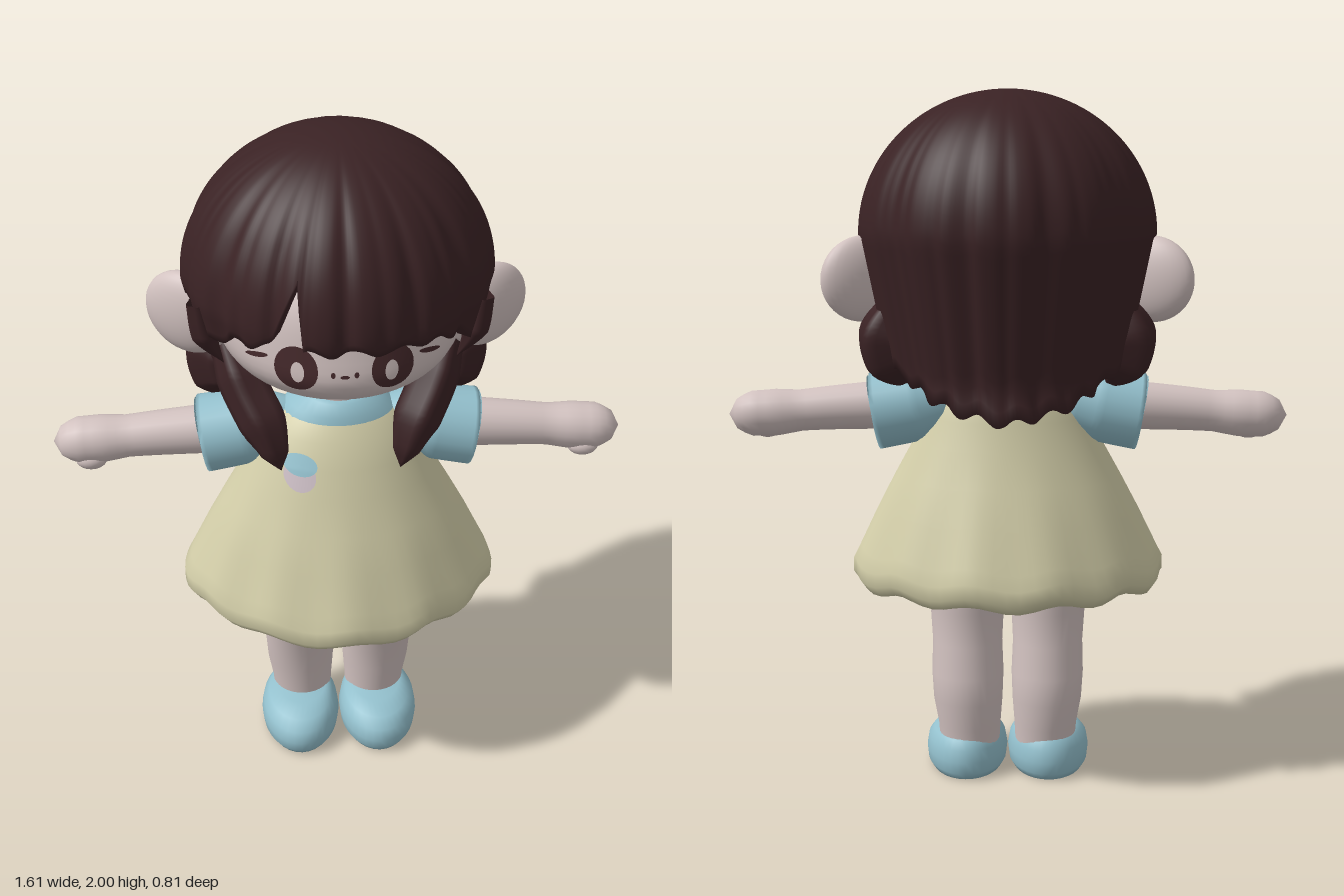
import * as THREE from 'three';
import { mergeVertices } from 'three/addons/utils/BufferGeometryUtils.js';

const mat = (name, color) => {
  const m = new THREE.MeshStandardMaterial({ color, side: THREE.DoubleSide });
  m.name = name;
  return m;
};

// Weld shared corners and give smooth normals
function smooth(geo) {
  geo.deleteAttribute('uv');
  geo.deleteAttribute('normal');
  const g = mergeVertices(geo, 1e-4);
  g.computeVertexNormals();
  return g;
}

// Surface from a rule f(u, v) -> [x, y, z]; outward when u turns left to right and v goes up
function sheet(f, nu, nv) {
  const pos = [], idx = [];
  for (let j = 0; j <= nv; j++)
    for (let i = 0; i <= nu; i++) pos.push(...f(i / nu, j / nv));
  for (let j = 0; j < nv; j++)
    for (let i = 0; i < nu; i++) {
      const a = j * (nu + 1) + i, d = a + nu + 1;
      idx.push(a, a + 1, d, a + 1, d + 1, d);
    }
  const g = new THREE.BufferGeometry();
  g.setAttribute('position', new THREE.Float32BufferAttribute(pos, 3));
  g.setIndex(idx);
  return smooth(g);
}

// Loft of upright ellipses; rows are [y, centreX, centreZ, radiusX, radiusZ]
function loft(rows, n = 32, wave = () => [1, 0]) {
  return sheet((u, v) => {
    const [y, cx, cz, rx, rz] = rows[Math.round(v * (rows.length - 1))];
    const a = (u * 2 - 1) * Math.PI, [k, dy] = wave(a, y);
    return [cx + Math.sin(a) * rx * k, y + dy, cz + Math.cos(a) * rz * k];
  }, n, rows.length - 1);
}

// Piecewise linear lookup in [x, value] pairs
function lerpTable(t, x) {
  for (let i = 1; i < t.length; i++)
    if (x <= t[i][0]) {
      const k = (x - t[i - 1][0]) / (t[i][0] - t[i - 1][0]);
      return t[i - 1][1] + (t[i][1] - t[i - 1][1]) * k;
    }
  return t[t.length - 1][1];
}

// Tube along points with a radius table and optional lengthwise ridges
function limb(points, radii, ridge = 0) {
  const curve = new THREE.CatmullRomCurve3(points.map(p => new THREE.Vector3(...p)));
  const n = 24, m = 20, g = new THREE.TubeGeometry(curve, n, 1, m);
  const p = g.attributes.position, v = new THREE.Vector3();
  for (let i = 0; i < p.count; i++) {
    const t = Math.floor(i / (m + 1)) / n, c = curve.getPointAt(t);
    const r = lerpTable(radii, t) * (1 + ridge * Math.cos((i % (m + 1)) / m * Math.PI * 10));
    v.fromBufferAttribute(p, i).sub(c).multiplyScalar(r).add(c);
    p.setXYZ(i, v.x, v.y, v.z);
  }
  return smooth(g);
}

// Thin painted oval that follows a surface z(x, y)
function decal(surf, x, y, rx, ry, lift, angle = 0) {
  const g = new THREE.RingGeometry(0.0001, 1, 28, 5).scale(rx, ry, 1).rotateZ(angle).translate(x, y, 0);
  const p = g.attributes.position;
  for (let i = 0; i < p.count; i++) p.setZ(i, surf(p.getX(i), p.getY(i)) + lift);
  g.computeVertexNormals();
  return g;
}

// Face surface: an ellipsoid with fuller cheeks
const HEAD = { y: 1.55, z: 0.03, rx: 0.345, ry: 0.27, rz: 0.32 };
const cheek = (y, z) => z + 0.04 * Math.exp(-(((y - 1.44) / 0.08) ** 2)) * Math.max(0, z / HEAD.rz);
const faceZ = (x, y) => HEAD.z + cheek(y, HEAD.rz *
  Math.sqrt(Math.max(0, 1 - (x / HEAD.rx) ** 2 - ((y - HEAD.y) / HEAD.ry) ** 2)));

// Dress outline: [y, halfWidth, frontZ, backZ]
const DRESS = [
  [0.66, 0.36, 0.31, -0.23], [0.60, 0.40, 0.35, -0.27], [0.582, 0.435, 0.38, -0.295],
  [0.61, 0.455, 0.4, -0.315], [0.65, 0.455, 0.392, -0.31], [0.69, 0.435, 0.372, -0.292],
  [0.8, 0.382, 0.33, -0.25], [0.9, 0.33, 0.285, -0.205], [1.0, 0.275, 0.24, -0.165],
  [1.08, 0.24, 0.21, -0.14], [1.15, 0.205, 0.175, -0.12], [1.19, 0.155, 0.145, -0.1],
].map(([y, w, f, b]) => [y, 0, (f + b) / 2, w, (f - b) / 2]);
const dressZ = (x, y) => {
  const at = k => lerpTable(DRESS.slice(3).map(r => [r[0], r[k]]), y);
  return at(2) + at(4) * Math.sqrt(1 - (x / at(3)) ** 2);
};

// Lower hair edge by angle from the front: fringe, ear opening, long back
const EDGE = [[0, 1.58], [0.5, 1.57], [0.8, 1.55], [1.1, 1.49], [1.28, 1.5], [1.42, 1.57],
  [1.68, 1.56], [1.82, 1.26], [2.2, 1.2], [2.7, 1.14], [Math.PI, 1.11]];
const PARTING = [[-4, 0], [-0.57, 0], [-0.56, 1.5], [-0.3, 1.77], [-0.26, 1.5], [-0.25, 0]];
function hairPoint(u, v) {
  const a = (u * 2 - 1) * Math.PI;
  const edge = Math.max(lerpTable(EDGE, Math.abs(a)) + 0.012 * Math.sin(22 * a), lerpTable(PARTING, a));
  const lip = Math.min(1, v / 0.08), q = 1 - Math.max(0, (v - 0.08) / 0.92);
  const y = 2 - (2 - edge) * q * q;
  let r = y > 1.6 ? Math.sqrt(Math.max(0, 1 - ((y - 1.6) / 0.4) ** 2))
    : 1 - 0.48 * (1.6 - y) + Math.max(0, 1.2 - y) * 1.1;
  const back = Math.abs(a) > 1.6;
  const groove = Math.abs(Math.cos(a * (back ? 5.5 : 7))) ** 10 * 0.028 + Math.abs(Math.cos(a * 13)) ** 6 * 0.012
    + (back ? 0.015 : 0.035) * Math.sin(2 * a) ** 2;
  r *= (1 - groove * Math.min(1, q * 1.5)) * (0.4 + 0.6 * lip);
  return [Math.sin(a) * 0.42 * r, y + (1 - lip) * 0.04, Math.cos(a) * 0.41 * r];
}

export function createModel() {
  const skin = mat('skin', 0xd2c2c0), hair = mat('hair brown', 0x3a2224), dress = mat('dress cream', 0xd2cda8),
    blue = mat('soft blue', 0x94c1ce), eye = mat('eye brown', 0x45292b), lilac = mat('pale lilac', 0xcdbfc6);
  const model = new THREE.Group();
  model.name = 'doll';
  const add = (name, geo, material, parent = model) => {
    const m = new THREE.Mesh(geo, material);
    m.name = name;
    parent.add(m);
    return m;
  };

  // Head and neck
  const head = new THREE.SphereGeometry(1, 48, 36).scale(HEAD.rx, HEAD.ry, HEAD.rz).translate(0, HEAD.y, 0);
  const hp = head.attributes.position;
  for (let i = 0; i < hp.count; i++) hp.setZ(i, HEAD.z + cheek(hp.getY(i), hp.getZ(i)));
  add('head', smooth(head), skin);
  add('neck', new THREE.CylinderGeometry(0.075, 0.085, 0.2, 24).translate(0, 1.25, 0.02), skin);
  add('hair', sheet(hairPoint, 240, 48), hair);

  // Clothes
  const flare = y => Math.max(0, Math.min(1, (0.95 - y) / 0.3));
  add('dress', loft(DRESS, 72, (a, y) =>
    [1 + flare(y) * (0.01 * Math.cos(13 * a) - 0.05 * Math.sin(2 * a) ** 2), 0.01 * flare(y) * Math.sin(11 * a + 1)]), dress);
  add('shorts', new THREE.SphereGeometry(1, 24, 16).scale(0.22, 0.1, 0.13).translate(0, 0.69, 0.04), dress);
  add('shirt', loft([[1.02, 0, 0.03, 0.2, 0.13], [1.15, 0, 0.025, 0.19, 0.13],
    [1.21, 0, 0.02, 0.14, 0.12], [1.24, 0, 0.02, 0.1, 0.097], [1.243, 0, 0.02, 0.08, 0.08]]), blue);

  // Chest badge
  add('badgeBase', decal(dressZ, -0.115, 1.063, 0.045, 0.043, 0.005), lilac);
  add('badgeTop', decal(dressZ, -0.113, 1.093, 0.047, 0.029, 0.008), blue);

  // Small nose mark
  add('nose', decal(faceZ, 0, 1.497, 0.012, 0.005, 0.005), eye);
  for (const s of [1, -1]) add('noseSide', decal(faceZ, s * 0.03, 1.502, 0.006, 0.008, 0.005), eye);

  // Everything that comes in pairs
  for (const s of [1, -1]) {
    const side = new THREE.Group();
    side.name = s > 0 ? 'leftSide' : 'rightSide';
    side.scale.x = s;
    model.add(side);
    const put = (name, geo, material) => add(name, geo, material, side);

    // Eye with lash
    put('eye', decal(faceZ, 0.123, 1.508, 0.055, 0.062, 0.004), eye);
    put('eyeCentre', decal(faceZ, 0.12, 1.503, 0.017, 0.028, 0.007), skin);
    put('outerLash', decal(faceZ, 0.222, 1.522, 0.03, 0.007, 0.005, -0.3), eye);

    // Ear
    const ear = put('ear', new THREE.SphereGeometry(1, 28, 20).scale(0.13, 0.122, 0.054), skin);
    ear.position.set(0.408, 1.475, -0.01);
    ear.rotation.y = 0.55;

    // Hanging locks
    put('frontLock', limb([[0.31, 1.4, -0.02], [0.25, 1.27, 0.07], [0.2, 1.18, 0.135], [0.165, 1.07, 0.18]],
      [[0, 0.04], [0.3, 0.065], [0.65, 0.064], [0.88, 0.036], [1, 0]], 0.12), hair);
    put('innerLock', limb([[0.31, 1.37, 0], [0.25, 1.25, 0.06], [0.225, 1.09, 0.12]],
      [[0, 0.04], [0.5, 0.06], [0.85, 0.035], [1, 0]], 0.12), hair);
    put('sideLock', limb([[0.29, 1.43, -0.07], [0.335, 1.32, -0.07], [0.32, 1.24, -0.06], [0.28, 1.17, -0.04]],
      [[0, 0.04], [0.4, 0.082], [0.7, 0.078], [1, 0]], 0.1), hair);
    put('templeWisp', limb([[0.37, 1.6, 0.15], [0.355, 1.5, 0.15], [0.31, 1.41, 0.15]],
      [[0, 0.03], [0.5, 0.034], [1, 0]], 0.1), hair);

    // Sleeve with folded cuff, arm, hand
    put('sleeve', limb([[0.12, 1.15, 0.015], [0.25, 1.115, 0.015], [0.388, 1.09, 0.015], [0.37, 1.094, 0.015]],
      [[0, 0.05], [0.25, 0.09], [0.5, 0.108], [0.95, 0.112], [1, 0.07]]), blue);
    put('arm', limb([[0.25, 1.115, 0.018], [0.5, 1.1, 0.02], [0.68, 1.085, 0.02], [0.805, 1.08, 0.02]],
      [[0, 0.075], [0.3, 0.068], [0.62, 0.06], [0.75, 0.068], [0.88, 0.066], [0.95, 0.048], [0.98, 0.03], [1, 0]]), skin);
    put('thumb', new THREE.SphereGeometry(1, 16, 12).scale(0.045, 0.03, 0.033).translate(0.7, 1.037, 0.05), skin);

    // Leg and shoe
    put('leg', loft([[0.08, 0.112, 0.005, 0.088, 0.088], [0.15, 0.113, 0.005, 0.092, 0.094],
      [0.23, 0.117, 0.002, 0.102, 0.102], [0.31, 0.118, 0.008, 0.106, 0.107], [0.4, 0.119, 0.028, 0.103, 0.104],
      [0.5, 0.12, 0.042, 0.109, 0.115], [0.6, 0.121, 0.045, 0.113, 0.122], [0.75, 0.121, 0.045, 0.114, 0.125]]), skin);
    put('shoe', loft([[0.005, 0.122, 0.065, 0, 0], [0.005, 0.122, 0.065, 0.105, 0.16], [0.025, 0.122, 0.065, 0.117, 0.173],
      [0.06, 0.122, 0.066, 0.121, 0.178], [0.095, 0.122, 0.064, 0.115, 0.168], [0.12, 0.12, 0.055, 0.1, 0.145],
      [0.137, 0.116, 0.035, 0.078, 0.105], [0.142, 0.115, 0.02, 0, 0]]), blue);
  }
  return model;
}
